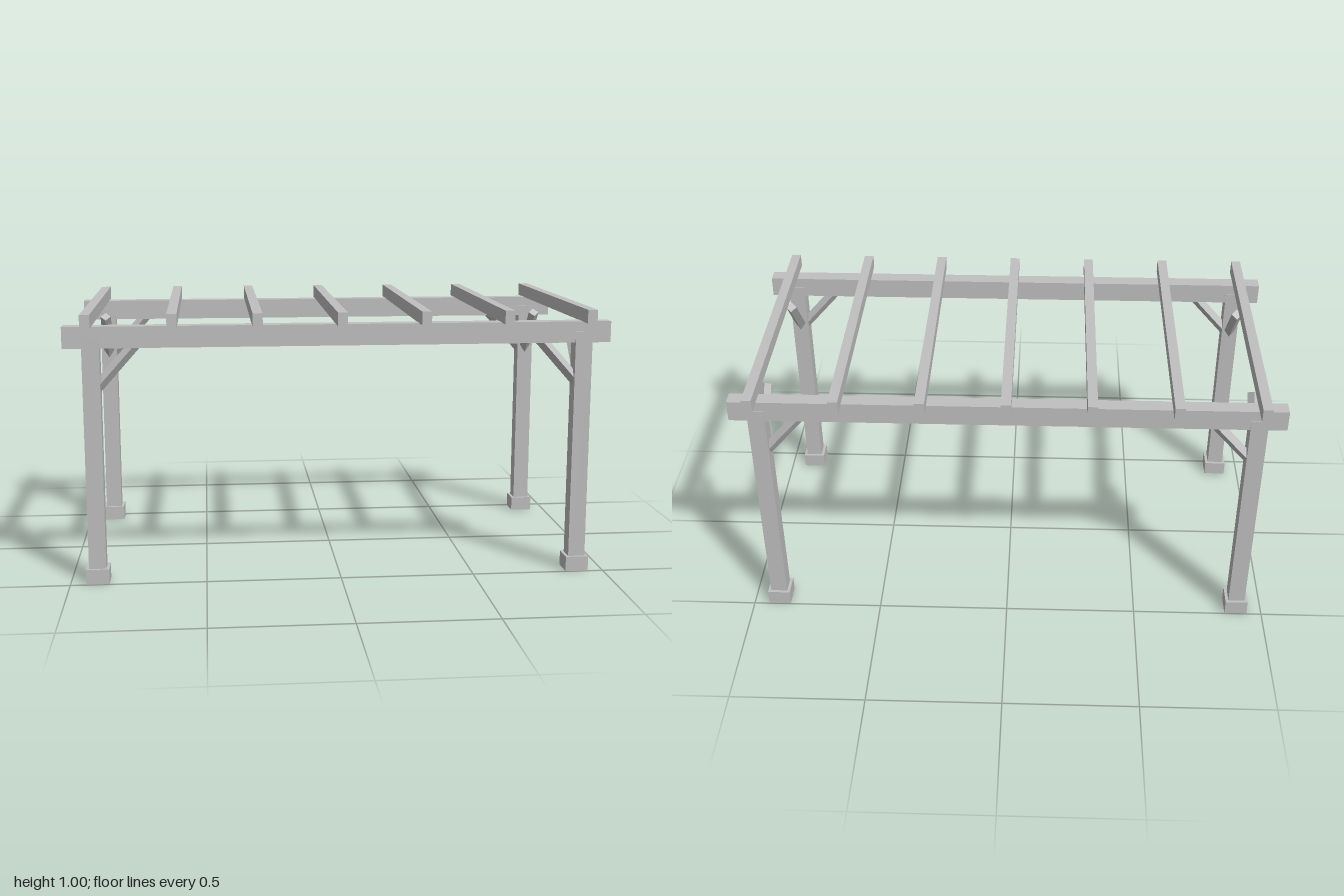
import * as THREE from 'three';

const POST_X = 0.9, POST_Z = 0.453;

export function createModel() {
  const model = new THREE.Group();
  model.name = 'pergola';
  const timber = new THREE.MeshStandardMaterial({ color: 0xc0c0c0 });
  timber.name = 'grey timber';

  // Box given its size and centre
  function addBox(name, size, centre) {
    const mesh = new THREE.Mesh(new THREE.BoxGeometry(...size), timber);
    mesh.name = name;
    mesh.position.set(...centre);
    model.add(mesh);
  }

  // Square bar turned on edge, running between two points
  function addBrace(name, from, to) {
    const direction = to.clone().sub(from);
    const geometry = new THREE.BoxGeometry(0.03, direction.length(), 0.03);
    geometry.rotateY(Math.PI / 4);
    const mesh = new THREE.Mesh(geometry, timber);
    mesh.name = name;
    mesh.position.copy(from).add(to).multiplyScalar(0.5);
    mesh.quaternion.setFromUnitVectors(new THREE.Vector3(0, 1, 0), direction.normalize());
    model.add(mesh);
  }

  for (const sz of [1, -1]) {
    // Long beams along the front and back
    addBox(sz > 0 ? 'frontBeam' : 'backBeam', [2, 0.078, 0.057], [0, 0.912, sz * POST_Z]);

    // Corner posts with footings and two diagonal braces each
    for (const sx of [1, -1]) {
      const corner = (sz > 0 ? 'front' : 'back') + (sx > 0 ? 'Left' : 'Right');
      const x = sx * POST_X, z = sz * POST_Z;
      addBox(corner + 'Footing', [0.086, 0.056, 0.086], [x, 0.028, z]);
      addBox(corner + 'Post', [0.063, 0.885, 0.063], [x, 0.4705, z]);
      const start = new THREE.Vector3(x, 0.707, z);
      const rise = 0.193, run = 0.172;
      addBrace(corner + 'LongBrace', start, start.clone().add(new THREE.Vector3(-sx * run, rise, 0)));
      addBrace(corner + 'CrossBrace', start, start.clone().add(new THREE.Vector3(0, rise, -sz * run)));
    }
  }

  // Seven rafters across the beams
  for (let i = -3; i <= 3; i++) {
    addBox('rafter' + (i + 4), [0.036, 0.05, 1.084], [i * 0.304, 0.975, 0]);
  }

  return model;
}
